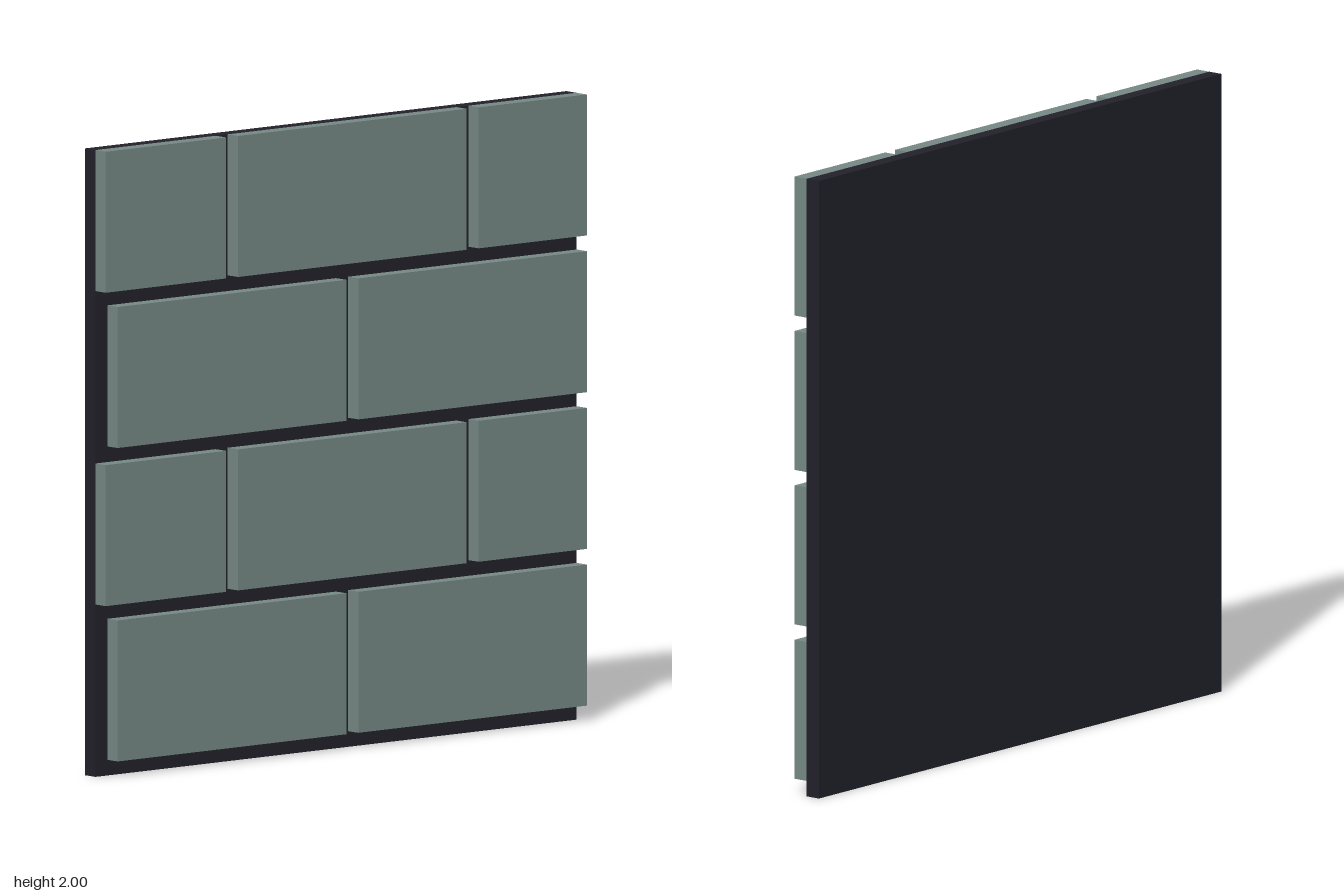
import * as THREE from 'three';

const mortar = new THREE.MeshStandardMaterial({ name: 'dark mortar', color: 0x22212b });
const stone = new THREE.MeshStandardMaterial({ name: 'grey green stone', color: 0x778a86 });

// Box spanning the given ranges
function block(name, material, [x0, x1], [y0, y1], [z0, z1]) {
  const mesh = new THREE.Mesh(new THREE.BoxGeometry(x1 - x0, y1 - y0, z1 - z0), material);
  mesh.position.set((x0 + x1) / 2, (y0 + y1) / 2, (z0 + z1) / 2);
  mesh.name = name;
  return mesh;
}

export function createModel() {
  const wall = new THREE.Group();
  wall.name = 'brickWall';

  // Backing panel
  wall.add(block('backingPanel', mortar, [-1, 1], [0, 2], [-0.05, 0]));

  // Four courses, alternating two long bricks with one long and two cut bricks
  const courses = [
    [[-0.95, 0], [0.05, 1]],
    [[-1, -0.5], [-0.45, 0.5], [0.55, 1]],
  ];
  for (let row = 0; row < 4; row++) {
    const course = new THREE.Group();
    course.name = `brickCourse${row + 1}`;
    const y = row * 0.5;
    courses[row % 2].forEach((span, i) => {
      course.add(block(`brick${i + 1}`, stone, span, [y + 0.05, y + 0.5], [0, 0.05]));
    });
    wall.add(course);
  }
  return wall;
}
